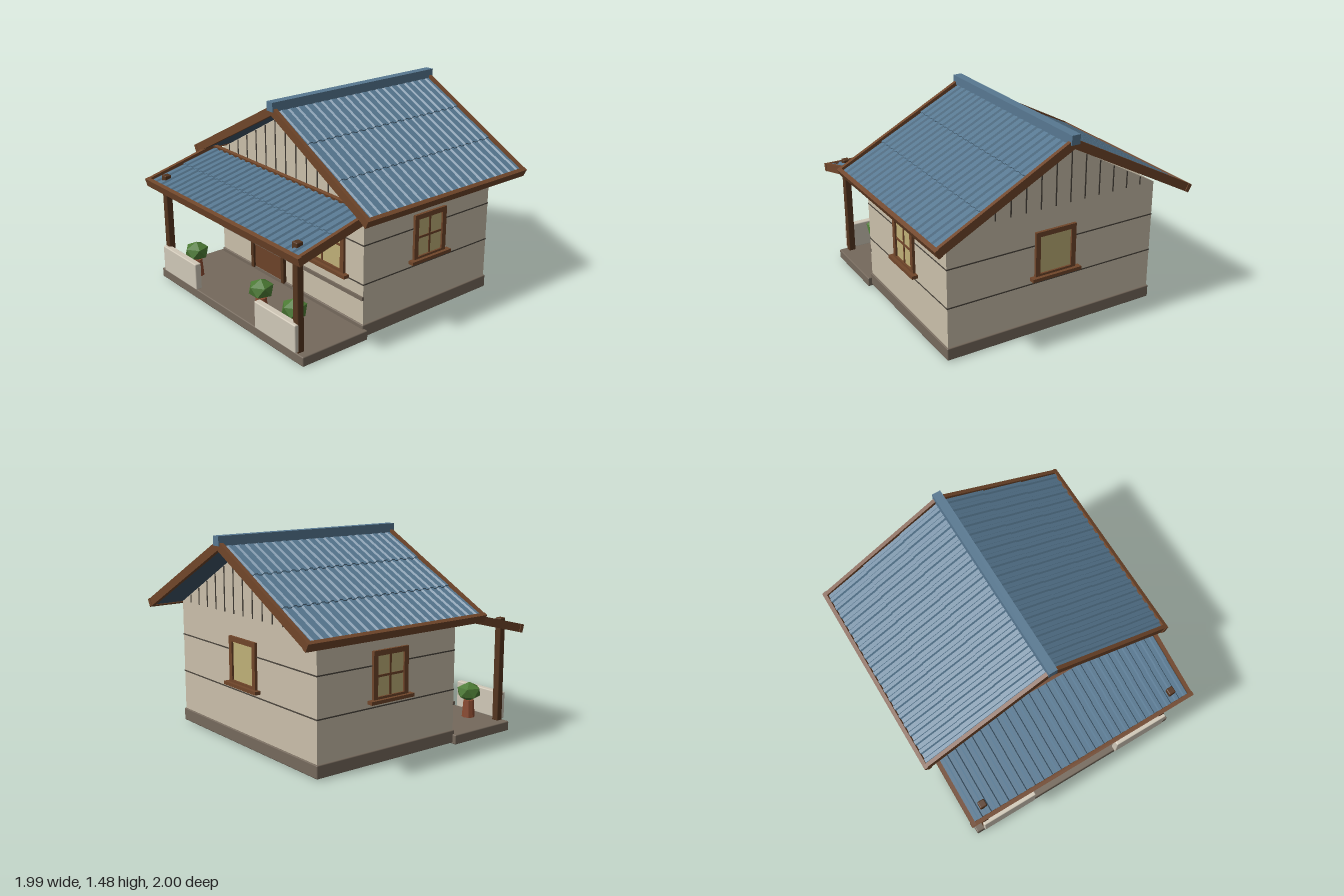
import * as THREE from 'three';
import { RoundedBoxGeometry } from 'three/addons/geometries/RoundedBoxGeometry.js';

const mat = (color, flatShading = false) => new THREE.MeshStandardMaterial({ color, flatShading });
const M = {
  wall: mat(0xcabfaa), panel: mat(0xd0c8b8), stone: mat(0x75695c), groove: mat(0x4c463e),
  wood: mat(0x70462a), darkWood: mat(0x54351f), door: mat(0x6c4228), glass: mat(0xbfb078),
  roof: mat(0x577891), underside: mat(0x405568), leaf: mat(0x4c7a34, true), pot: mat(0x8a4a30, true),
};

function add(parent, name, geometry, material, x = 0, y = 0, z = 0) {
  const mesh = new THREE.Mesh(geometry, material);
  mesh.name = name;
  mesh.position.set(x, y, z);
  parent.add(mesh);
  return mesh;
}
const box = (parent, name, material, w, h, d, x, y, z) =>
  add(parent, name, new THREE.BoxGeometry(w, h, d), material, x, y, z);
const softBox = (parent, name, material, w, h, d, x, y, z) =>
  add(parent, name, new RoundedBoxGeometry(w, h, d, 2, 0.008), material, x, y, z);

function group(parent, name, x = 0, y = 0, z = 0, turn = 0) {
  const g = new THREE.Group();
  g.name = name;
  g.position.set(x, y, z);
  g.rotation.y = turn;
  parent.add(g);
  return g;
}

// Ribbed metal sheet: ribs run along x, width runs along z
function sheetGeometry(width, length, ribs) {
  const s = new THREE.Shape();
  const p = width / ribs;
  s.moveTo(-width / 2, -0.012);
  for (let i = 0; i < ribs; i++) {
    const x = -width / 2 + i * p;
    s.lineTo(x, 0.002);
    s.lineTo(x + 0.42 * p, 0.002);
    s.lineTo(x + 0.54 * p, 0.014);
    s.lineTo(x + 0.88 * p, 0.014);
  }
  s.lineTo(width / 2, 0.002);
  s.lineTo(width / 2, -0.012);
  return new THREE.ExtrudeGeometry(s, { depth: length, bevelEnabled: false }).rotateY(Math.PI / 2);
}

// One sloping roof plane, falling along local +x, with overlapping sheets and wooden edges
function roofPlane(parent, name, { width, length, slope, courses, ribs }) {
  const g = group(parent, name);
  g.rotation.z = -slope;
  const step = (length - 0.02) / courses;
  const sheet = sheetGeometry(width - 0.05, step + 0.012, ribs);
  for (let i = 0; i < courses; i++) {
    add(g, 'roofSheet', sheet, M.roof, i * step, 0, 0).rotation.z = 0.009 / step;
  }
  box(g, 'roofUnderside', M.underside, length - 0.01, 0.018, width - 0.04, length / 2, -0.015, 0);
  for (const side of [-1, 1]) {
    box(g, 'bargeBoard', M.wood, length, 0.06, 0.028, length / 2, 0, side * (width / 2 - 0.014));
  }
  box(g, 'eaveBoard', M.wood, 0.03, 0.06, width + 0.01, length - 0.005, 0, 0);
  return g;
}

// Framed window facing local +z, centred on its frame
function windowUnit(parent, name, w, h, bars, x, y, z, turn) {
  const g = group(parent, name, x, y, z, turn);
  const t = 0.036;
  box(g, 'glass', M.glass, w - t, h - t, 0.012, 0, 0, 0);
  for (const s of [-1, 1]) {
    box(g, 'frameSide', M.wood, t, h, 0.04, s * (w - t) / 2, 0, 0);
    box(g, 'frameRail', M.wood, w, t, 0.04, 0, s * (h - t) / 2, 0);
  }
  if (bars) {
    box(g, 'barUpright', M.wood, 0.016, h - t, 0.022, 0, 0, 0);
    box(g, 'barCross', M.wood, w - t, 0.016, 0.022, 0, 0, 0);
  }
  box(g, 'sill', M.wood, w + 0.07, 0.024, 0.06, 0, -h / 2 + 0.008, 0.014);
}

export function createModel() {
  const house = new THREE.Group();
  house.name = 'house';
  const front = 0.39, back = -0.8, mid = (front + back) / 2;

  // Walls with both gables as one solid
  const outline = new THREE.Shape();
  outline.moveTo(-0.82, 0.02);
  outline.lineTo(0.82, 0.02);
  outline.lineTo(0.82, 0.92);
  outline.lineTo(0, 1.375);
  outline.lineTo(-0.82, 0.92);
  add(house, 'walls', new THREE.ExtrudeGeometry(outline, { depth: front - back, bevelEnabled: false }), M.wall, 0, 0, back);
  softBox(house, 'plinth', M.stone, 1.66, 0.092, 1.21, 0, 0.054, mid);
  softBox(house, 'porchFloor', M.stone, 1.72, 0.07, 0.55, 0, 0.035, 0.655);
  for (const y of [0.392, 0.672]) {
    box(house, 'wallGroove', M.groove, 1.645, 0.009, front - back + 0.006, 0, y, mid);
  }
  box(house, 'frontRail', M.stone, 1.645, 0.026, 0.02, 0, 0.292, front + 0.003);

  // Gable battens, front and back
  for (let i = -6; i <= 6; i++) {
    const x = i * 0.116;
    const h = 1.37 - 0.555 * Math.abs(x) - 0.925;
    for (const z of [front, back]) box(house, 'gableBatten', M.groove, 0.009, h, 0.008, x, 0.925 + h / 2, z);
  }

  // Door
  const door = group(house, 'door', -0.22, 0, front);
  box(door, 'doorPanel', M.door, 0.34, 0.74, 0.016, 0, 0.46, 0);
  for (const s of [-1, 1]) box(door, 'doorJamb', M.darkWood, 0.032, 0.76, 0.05, s * 0.185, 0.47, 0);
  box(door, 'doorHead', M.darkWood, 0.4, 0.032, 0.05, 0, 0.835, 0);
  add(door, 'doorKnob', new THREE.SphereGeometry(0.013, 12, 8), M.darkWood, 0.11, 0.392, 0.014);

  // Windows
  windowUnit(house, 'frontWindow', 0.47, 0.42, true, 0.405, 0.605, front, 0);
  windowUnit(house, 'leftWindow', 0.3, 0.345, true, 0.82, 0.598, mid, Math.PI / 2);
  windowUnit(house, 'rightWindow', 0.3, 0.345, true, -0.82, 0.598, mid, -Math.PI / 2);
  windowUnit(house, 'backWindow', 0.32, 0.345, false, 0, 0.598, back, Math.PI);

  // Main roof: two planes and a ridge cap
  const roof = group(house, 'mainRoof', 0, 1.418, -0.24);
  for (const turn of [0, Math.PI]) {
    const half = group(roof, 'roofHalf', 0, 0, 0, turn);
    roofPlane(half, 'roofSlope', { width: 1.5, length: 1.1, slope: 0.4835, courses: 3, ribs: 20 });
  }
  box(roof, 'ridgeCap', M.roof, 0.064, 0.066, 1.52, 0, 0.03, 0);

  // Porch roof
  const porch = group(house, 'porchRoof', 0, 0.916, 0.39, -Math.PI / 2);
  const lean = roofPlane(porch, 'porchSlope', { width: 1.81, length: 0.61, slope: 0.252, courses: 2, ribs: 25 });
  box(lean, 'topTrim', M.wood, 0.025, 0.04, 1.77, 0.012, 0.005, 0);

  // Posts, porch walls and potted shrubs
  for (const s of [-1, 1]) {
    softBox(house, 'porchPost', M.darkWood, 0.052, 0.77, 0.052, s * 0.775, 0.45, 0.895);
    softBox(house, 'porchWall', M.panel, 0.44, 0.2, 0.05, s * 0.58, 0.177, 0.92);
  }
  const bush = new THREE.IcosahedronGeometry(0.095, 0).rotateX(-Math.atan((1 + Math.sqrt(5)) / 2)).scale(1, 0.77, 1);
  const pot = new THREE.CylinderGeometry(0.038, 0.048, 0.13, 8);
  for (const x of [-0.59, 0.22, 0.59]) {
    const plant = group(house, 'pottedShrub', x, 0, 0.785);
    add(plant, 'pot', pot, M.pot, 0, 0.133, 0);
    add(plant, 'foliage', bush, M.leaf, 0, 0.262, 0);
  }
  return house;
}
